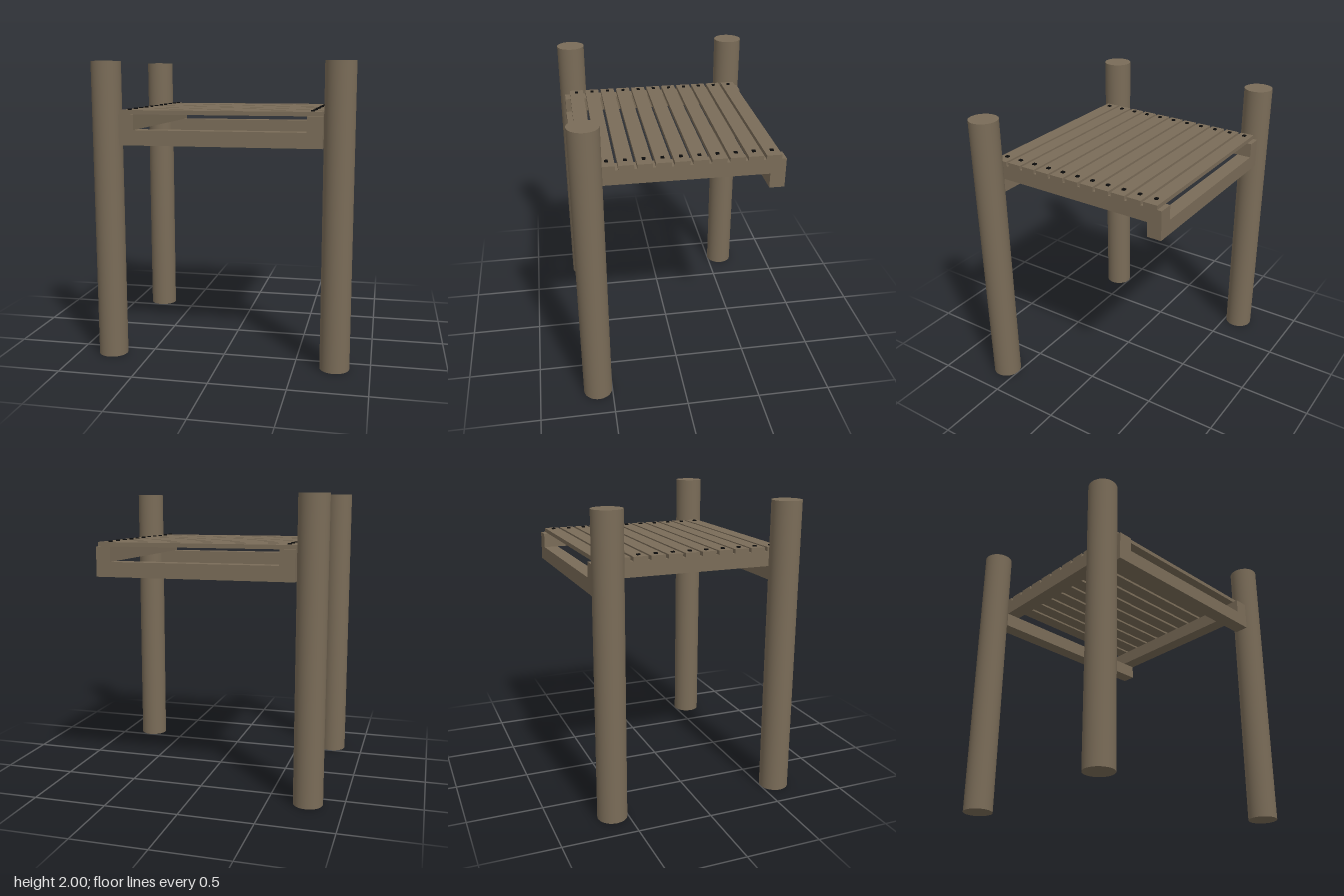
import * as THREE from 'three';

export function createModel() {
  const wood = new THREE.MeshStandardMaterial({ color: 0x7a6c58 });
  wood.name = 'weathered wood';
  const iron = new THREE.MeshStandardMaterial({ color: 0x0c0c0c });
  iron.name = 'black iron';

  const model = new THREE.Group();
  model.name = 'slattedPlatform';

  function add(name, geometry, material, x, y, z) {
    const mesh = new THREE.Mesh(geometry, material);
    mesh.name = name;
    mesh.position.set(x, y, z);
    model.add(mesh);
  }

  // Three round posts; the back left corner is left open
  const post = new THREE.CylinderGeometry(0.0985, 0.0985, 2, 48);
  for (const [x, z] of [[-0.766, -0.6], [-0.766, 0.6], [0.766, 0.6]]) {
    add('post', post, wood, x, 1, z);
  }

  // Side rails resting on the front and back cross beams
  const rail = new THREE.BoxGeometry(0.1, 0.1, 1.332);
  const beam = new THREE.BoxGeometry(1.332, 0.1, 0.1);
  for (const s of [-1, 1]) {
    add('sideRail', rail, wood, s * 0.616, 1.605, 0);
    add('crossBeam', beam, wood, 0, 1.505, s * 0.616);
  }

  // Deck slats, each nailed to both rails
  const slat = new THREE.BoxGeometry(1.332, 0.028, 0.098);
  const nail = new THREE.BoxGeometry(0.022, 0.012, 0.022);
  for (let i = 0; i < 11; i++) {
    const z = -0.586 + i * 0.1166;
    add('deckSlat', slat, wood, 0, 1.669, z);
    for (const x of [-0.615, 0.594]) add('nailHead', nail, iron, x, 1.685, z);
  }

  return model;
}
